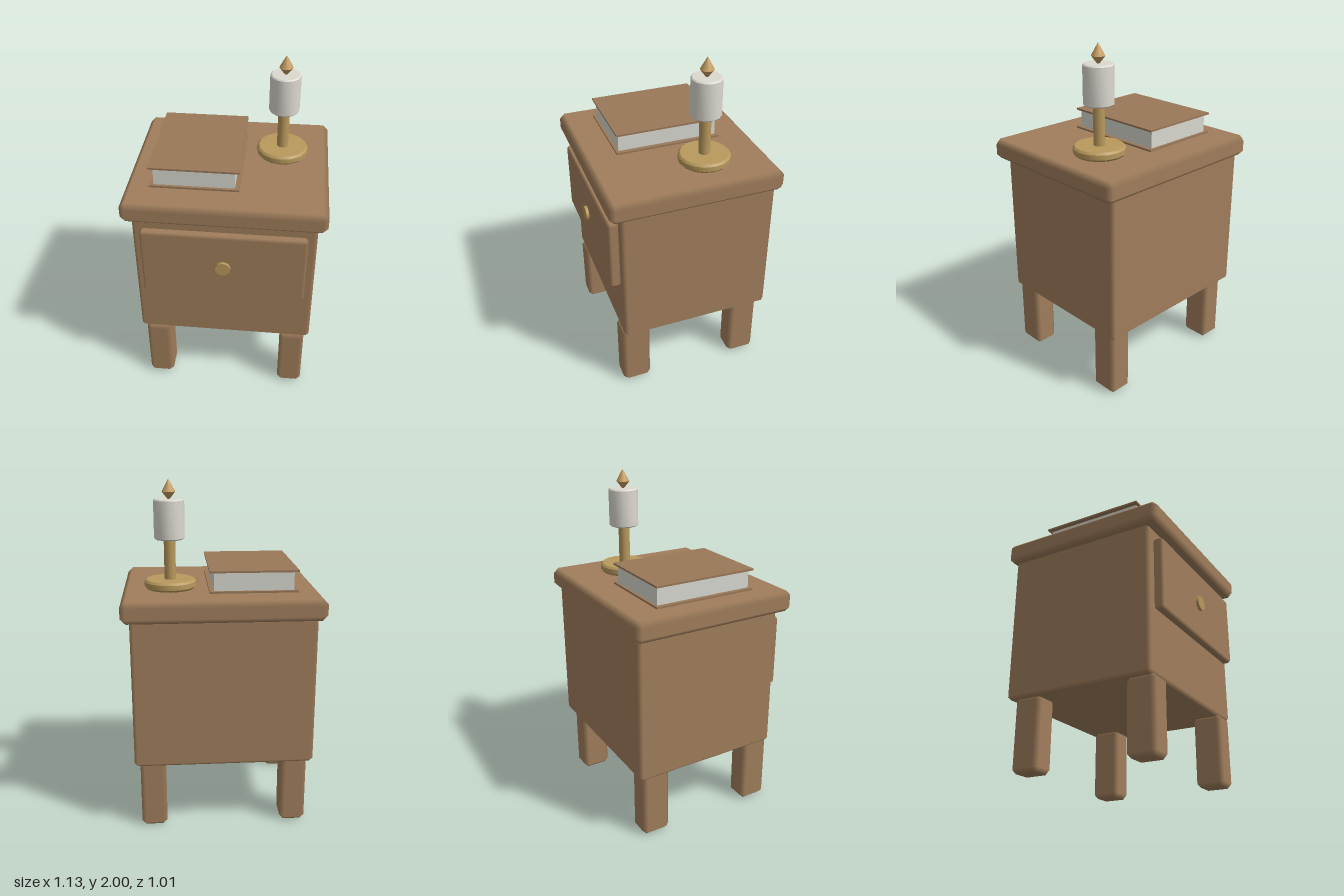
import * as THREE from 'three';
import { toCreasedNormals } from 'three/addons/utils/BufferGeometryUtils.js';
import { ConvexGeometry } from 'three/addons/geometries/ConvexGeometry.js';

const material = (name, color) => {
  const m = new THREE.MeshStandardMaterial({ color });
  m.name = name;
  return m;
};

// Box with one soft chamfer on every edge: each corner point belongs to one flat face
function chamferBox(w, h, d, r) {
  const half = [w / 2, h / 2, d / 2];
  const points = [];
  for (const sx of [-1, 1]) for (const sy of [-1, 1]) for (const sz of [-1, 1]) {
    for (let axis = 0; axis < 3; axis++) {
      const p = [sx, sy, sz].map((s, i) => s * (half[i] - (i === axis ? 0 : r)));
      points.push(new THREE.Vector3(...p));
    }
  }
  const geo = new ConvexGeometry(points);
  const pos = geo.attributes.position;
  const nor = geo.attributes.normal;
  for (let i = 0; i < pos.count; i++) {
    const p = [pos.getX(i), pos.getY(i), pos.getZ(i)];
    const n = p.map((v, k) => (Math.abs(v) > half[k] - r / 2 ? Math.sign(v) : 0));
    nor.setXYZ(i, ...n);
  }
  return geo;
}

// Turned part from [radius, height] pairs, bottom to top
function turned(profile, sides) {
  const geo = new THREE.LatheGeometry(profile.map(([r, y]) => new THREE.Vector2(r, y)), sides);
  return toCreasedNormals(geo, 0.7);
}

export function createModel() {
  const wood = material('wood', 0xa07e5c);
  const cover = material('book cover', 0x9a7858);
  const paper = material('paper', 0xd8d8d0);
  const shadeWhite = material('shade white', 0xdcd9d0);
  const brass = material('brass', 0xb8995c);
  const gold = material('gold', 0xc49c60);

  const model = new THREE.Group();
  model.name = 'nightstand';

  const add = (name, geo, mat, x = 0, y = 0, z = 0, parent = model) => {
    const mesh = new THREE.Mesh(geo, mat);
    mesh.name = name;
    mesh.position.set(x, y, z);
    parent.add(mesh);
    return mesh;
  };

  // Cabinet
  add('tableTop', chamferBox(1.13, 0.122, 1.005, 0.03), wood, 0, 1.324, -0.002);
  add('body', chamferBox(1.034, 0.87, 0.905, 0.02), wood, 0, 0.843, -0.022);
  add('drawerFront', chamferBox(0.93, 0.43, 0.06, 0.014), wood, 0, 0.985, 0.458);
  add('drawerKnob', new THREE.CylinderGeometry(0.043, 0.043, 0.04, 14), brass, 0, 0.985, 0.485)
    .rotation.x = Math.PI / 2;

  // Legs
  const leg = chamferBox(0.148, 0.422, 0.172, 0.025);
  for (const [sx, side] of [[1, 'Left'], [-1, 'Right']]) {
    add('front' + side + 'Leg', leg, wood, sx * 0.413, 0.211, 0.353);
    add('back' + side + 'Leg', leg, wood, sx * 0.413, 0.211, -0.351);
  }

  // Book
  const book = new THREE.Group();
  book.name = 'book';
  book.position.set(-0.178, 1.385, -0.002);
  model.add(book);
  const board = new THREE.BoxGeometry(0.503, 0.011, 0.626);
  add('bottomCover', board, cover, 0, 0.0065, 0, book);
  add('pages', new THREE.BoxGeometry(0.453, 0.106, 0.594), paper, 0, 0.064, 0, book);
  add('topCover', board, cover, 0, 0.122, 0, book);

  // Lamp
  const lamp = new THREE.Group();
  lamp.name = 'lamp';
  lamp.position.set(0.29, 0, -0.13);
  model.add(lamp);
  add('lampBase', turned([[0, 1.385], [0.138, 1.385], [0.149, 1.397], [0.149, 1.425],
    [0.138, 1.437], [0, 1.437]], 16), brass, 0, 0, 0, lamp);
  add('lampStem', new THREE.CylinderGeometry(0.033, 0.033, 0.25, 12), brass, 0, 1.555, 0, lamp);
  add('lampShade', turned([[0, 1.665], [0.08, 1.665], [0.087, 1.672], [0.087, 1.883],
    [0.08, 1.89], [0, 1.89]], 12), shadeWhite, 0, 0, 0, lamp);
  add('finial', turned([[0, 1.888], [0.008, 1.89], [0.039, 1.93], [0, 2]], 10), gold, 0, 0, 0, lamp);

  return model;
}
